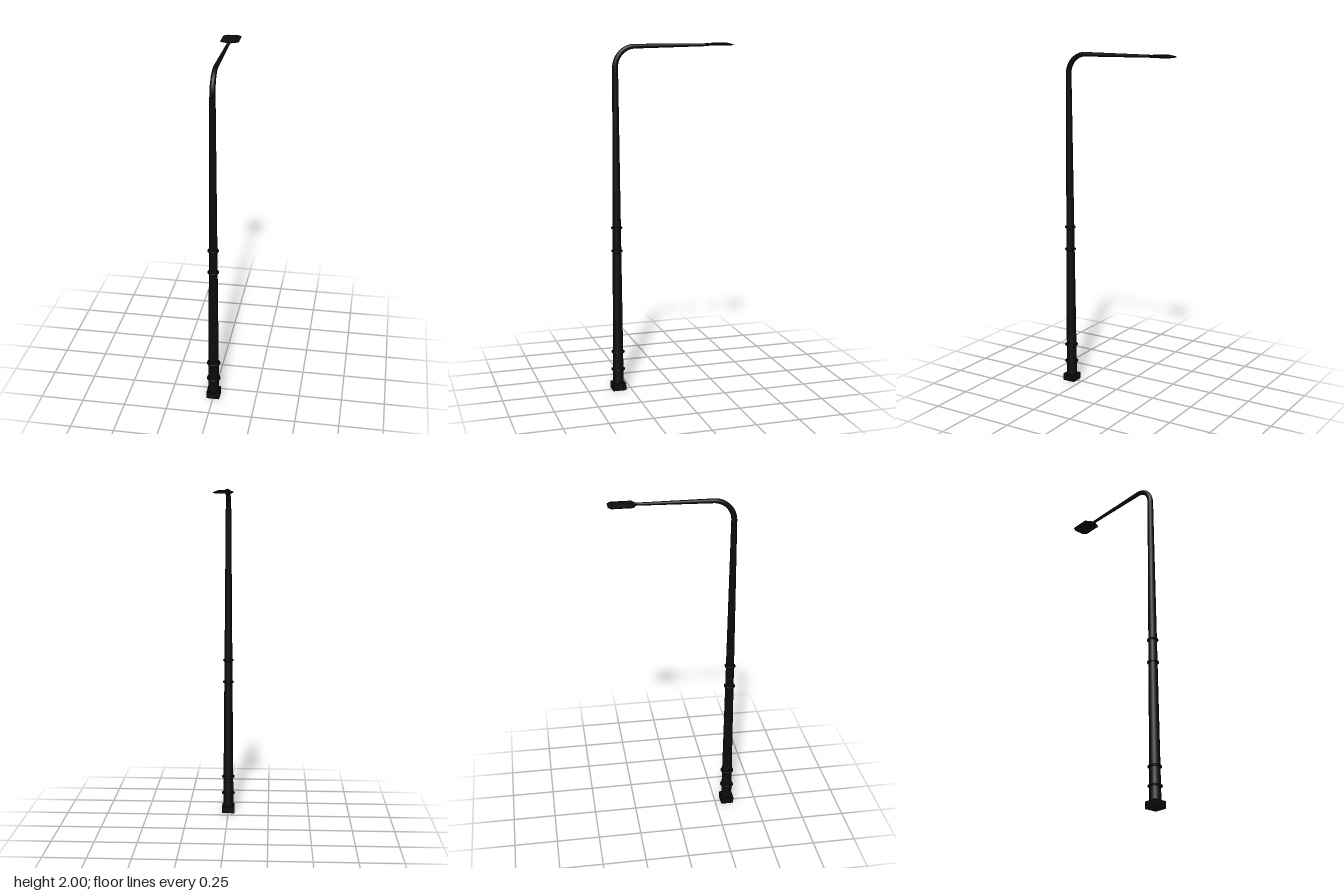
import * as THREE from 'three';

const POLE_Z = 0.322, BEND = 0.115, ARM_Y = 1.985;

// Round tube along a curve whose radius shrinks from r0 to r1
function taperedTube(curve, steps, r0, r1, sides = 16) {
  const geo = new THREE.TubeGeometry(curve, steps, 1, sides);
  const pos = geo.attributes.position, v = new THREE.Vector3();
  for (let i = 0; i <= steps; i++) {
    const centre = curve.getPointAt(i / steps);
    const r = THREE.MathUtils.lerp(r0, r1, i / steps);
    for (let j = 0; j <= sides; j++) {
      const k = i * (sides + 1) + j;
      v.fromBufferAttribute(pos, k).sub(centre).multiplyScalar(r).add(centre);
      pos.setXYZ(k, v.x, v.y, v.z);
    }
  }
  return geo;
}

// Shallow lamp housing: scaled copies of one outline stacked and capped
function lampGeometry() {
  const outline = [[0.008, -0.208], [0.052, -0.232], [0.052, -0.347], [0.028, -0.364],
    [-0.028, -0.364], [-0.052, -0.347], [-0.052, -0.232], [-0.008, -0.208]];
  const layers = [[0.8, 1.985], [1, 1.988], [1, 1.992], [0.6, 2.0]];
  const n = outline.length, cz = -0.288, verts = [], index = [];
  for (const [s, y] of layers)
    for (const [x, z] of outline) verts.push(x * s, y, cz + (z - cz) * s);
  for (let l = 0; l < layers.length - 1; l++)
    for (let i = 0; i < n; i++) {
      const a = l * n + i, b = l * n + (i + 1) % n;
      index.push(a, b, b + n, a, b + n, a + n);
    }
  const top = (layers.length - 1) * n;
  for (let i = 1; i < n - 1; i++) {
    index.push(0, i + 1, i);
    index.push(top, top + i, top + i + 1);
  }
  const geo = new THREE.BufferGeometry();
  geo.setAttribute('position', new THREE.Float32BufferAttribute(verts, 3));
  geo.setIndex(index);
  const flat = geo.toNonIndexed();
  flat.computeVertexNormals();
  return flat;
}

export function createModel() {
  const group = new THREE.Group();
  const black = new THREE.MeshStandardMaterial({ color: 0x0b0b0b });
  black.name = 'black metal';
  const add = (name, geo, x = 0, y = 0, z = 0) => {
    const mesh = new THREE.Mesh(geo, black);
    mesh.name = name;
    mesh.position.set(x, y, z);
    group.add(mesh);
    return mesh;
  };

  // Square foot
  add('base', new THREE.BoxGeometry(0.076, 0.04, 0.076), 0, 0.02, POLE_Z);

  // Tapered upright
  const bendY = ARM_Y - BEND;
  add('pole', new THREE.CylinderGeometry(0.0165, 0.032, bendY, 16), 0, bendY / 2, POLE_Z);

  // Collars round the pole
  for (const [y, r] of [[0.122, 0.035], [0.228, 0.034], [0.83, 0.028], [0.965, 0.027]]) {
    add('collar', new THREE.TorusGeometry(r, 0.0055, 8, 24), 0, y, POLE_Z).rotation.x = Math.PI / 2;
  }

  // Quarter bend leading into the arm
  const k = BEND * 0.5523;
  const bend = new THREE.CubicBezierCurve3(
    new THREE.Vector3(0, bendY, POLE_Z),
    new THREE.Vector3(0, bendY + k, POLE_Z),
    new THREE.Vector3(0, ARM_Y, POLE_Z - BEND + k),
    new THREE.Vector3(0, ARM_Y, POLE_Z - BEND));
  add('bend', taperedTube(bend, 16, 0.0165, 0.0128));

  // Long thin arm
  const arm = new THREE.LineCurve3(
    new THREE.Vector3(0, ARM_Y, POLE_Z - BEND), new THREE.Vector3(0, 1.99, -0.225));
  add('arm', taperedTube(arm, 4, 0.0128, 0.008));

  // Lamp head
  add('lampHead', lampGeometry());
  return group;
}
